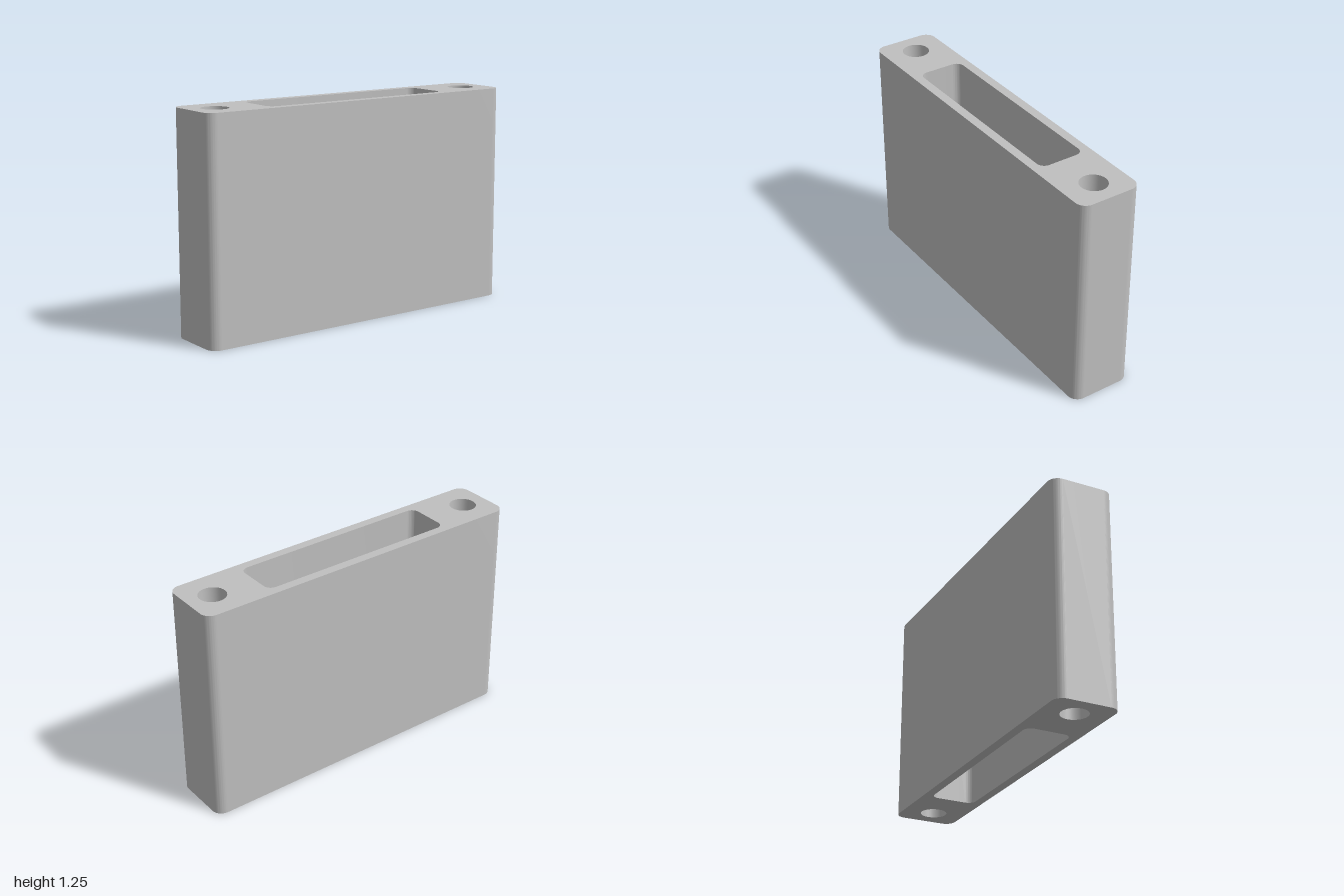
import * as THREE from 'three';
import { toCreasedNormals } from 'three/addons/utils/BufferGeometryUtils.js';

const HEIGHT = 1.25;

// Trace a rounded rectangle, given half sizes and corner radius
function roundedRect(path, hw, hl, r) {
  const x = hw - r, y = hl - r, q = Math.PI / 2;
  path.moveTo(hw, -y);
  path.absarc(x, y, r, 0, q);
  path.absarc(-x, y, r, q, 2 * q);
  path.absarc(-x, -y, r, 2 * q, 3 * q);
  path.absarc(x, -y, r, 3 * q, 4 * q);
  return path;
}

export function createModel() {
  const group = new THREE.Group();
  group.name = 'spacerBlock';

  const grey = new THREE.MeshStandardMaterial({ color: 0xc0c0c0 });
  grey.name = 'light grey';

  // Outer outline with a long central slot
  const outline = roundedRect(new THREE.Shape(), 0.183, 1, 0.06);
  outline.holes.push(roundedRect(new THREE.Path(), 0.131, 0.59, 0.045));

  // Round bolt hole at each end
  for (const end of [-1, 1]) {
    outline.holes.push(new THREE.Path().absarc(0, end * 0.848, 0.076, 0, Math.PI * 2));
  }

  // Extrude upwards through the full height
  const geometry = new THREE.ExtrudeGeometry(outline, {
    depth: HEIGHT, bevelEnabled: false, curveSegments: 16,
  });
  geometry.rotateX(-Math.PI / 2);

  const body = new THREE.Mesh(toCreasedNormals(geometry, 0.6), grey);
  body.name = 'slottedBody';
  group.add(body);
  return group;
}
